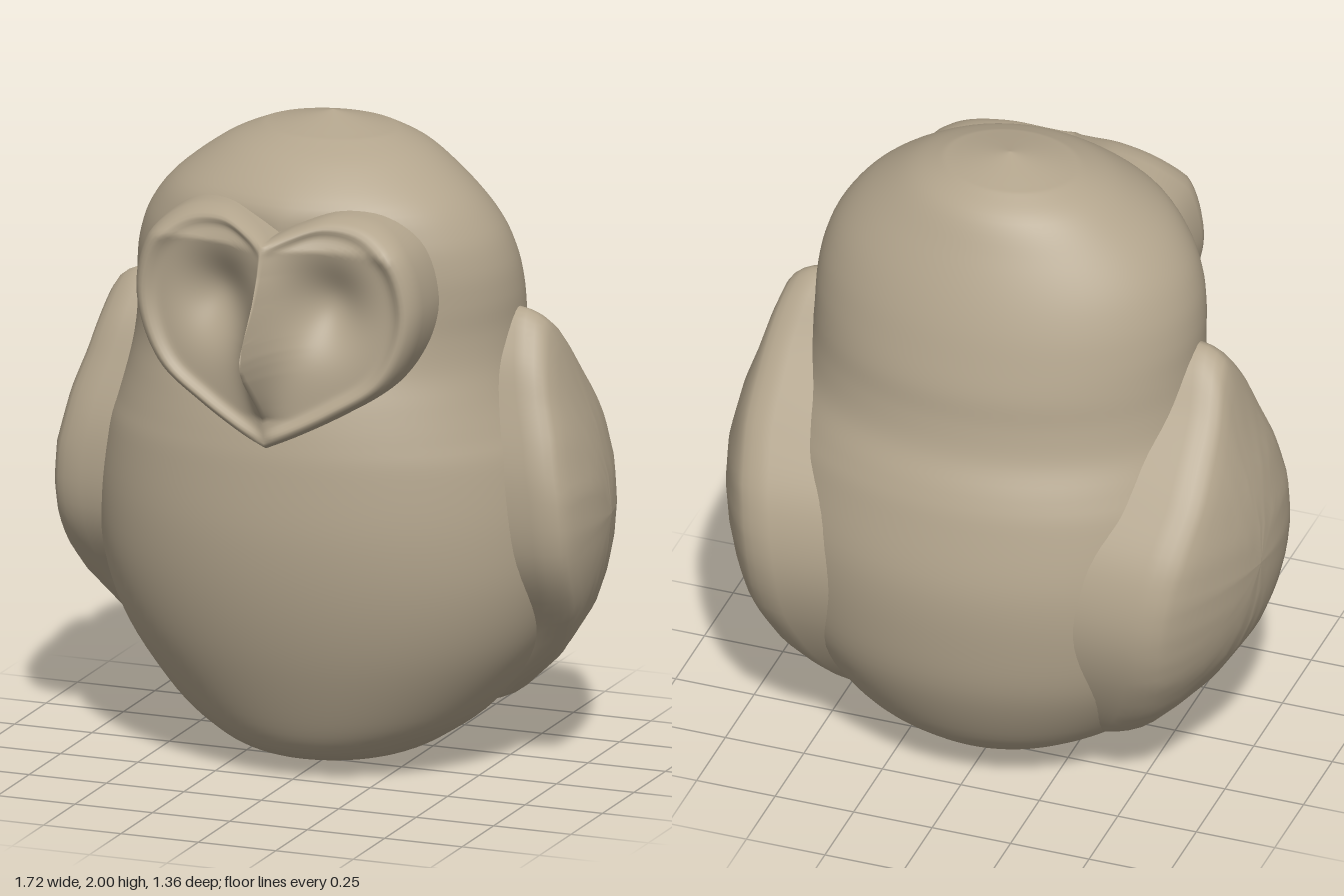
import * as THREE from 'three';

const plumage = new THREE.MeshStandardMaterial({ color: 0xb3a58d });
plumage.name = 'warm taupe';

// Skin a list of closed rings (arrays of Vector3 of equal length)
function loft(name, rings, flip) {
  const n = rings[0].length, index = [];
  for (let i = 0; i < rings.length - 1; i++) {
    for (let j = 0; j < n; j++) {
      const k = (j + 1) % n;
      const a = i * n + j, b = i * n + k, c = a + n, d = b + n;
      if (flip) index.push(a, b, c, b, d, c);
      else index.push(a, c, b, b, c, d);
    }
  }
  const geo = new THREE.BufferGeometry().setFromPoints(rings.flat());
  geo.setIndex(index);
  geo.computeVertexNormals();
  const mesh = new THREE.Mesh(geo, plumage);
  mesh.name = name;
  return mesh;
}

// Piecewise linear lookup in [key, value] pairs sorted by key
function lookup(table, k) {
  if (k <= table[0][0]) return table[0][1];
  for (let i = 1; i < table.length; i++) {
    const [k0, v0] = table[i - 1], [k1, v1] = table[i];
    if (k <= k1) return v0 + (v1 - v0) * (k - k0) / (k1 - k0);
  }
  return table[table.length - 1][1];
}

const gauss = (t) => Math.exp(-t * t);
const spline = (pts, closed) => new THREE.CatmullRomCurve3(
  pts.map(([x, y]) => new THREE.Vector3(x, y, 0)), closed, 'centripetal');

// Body and head: height, half width, front z, back z
function makeBody() {
  const sections = [
    [0, 0, -0.07, -0.07], [0.03, 0.17, 0.1, -0.25], [0.05, 0.27, 0.19, -0.34],
    [0.1, 0.37, 0.26, -0.43], [0.2, 0.5, 0.32, -0.53], [0.4, 0.65, 0.4, -0.63],
    [0.6, 0.72, 0.45, -0.67], [0.8, 0.73, 0.47, -0.677], [1.0, 0.7, 0.46, -0.635],
    [1.1, 0.665, 0.445, -0.6], [1.2, 0.63, 0.42, -0.552], [1.3, 0.61, 0.39, -0.528],
    [1.4, 0.602, 0.38, -0.515], [1.5, 0.6, 0.38, -0.49], [1.6, 0.585, 0.38, -0.46],
    [1.7, 0.545, 0.37, -0.42], [1.8, 0.465, 0.34, -0.37], [1.9, 0.335, 0.23, -0.31],
    [1.95, 0.23, 0.13, -0.24], [1.965, 0.17, 0.08, -0.2], [2, 0, -0.07, -0.07],
  ];
  const width = new THREE.CatmullRomCurve3(sections.map(([y, w]) => new THREE.Vector3(w, y, 0)));
  const depth = new THREE.CatmullRomCurve3(sections.map(([, , f, b]) => new THREE.Vector3(f, b, 0)));
  width.curveType = depth.curveType = 'catmullrom';
  const rings = [], steps = 100, sides = 96;
  for (let i = 0; i <= steps; i++) {
    const { x: w, y } = width.getPoint(i / steps);
    const { x: front, y: back } = depth.getPoint(i / steps);
    const ring = [];
    for (let j = 0; j < sides; j++) {
      const a = (j / sides) * Math.PI * 2;
      const x = w * Math.cos(a);
      let z = (front + back) / 2 + (front - back) / 2 * Math.sin(a);
      // make room behind the eye hollows
      if (z > 0) z -= 0.13 * gauss((Math.abs(x) - 0.17) / 0.14) * gauss((y - 1.53) / 0.15);
      ring.push(new THREE.Vector3(x, y, z));
    }
    rings.push(ring);
  }
  return loft('body', rings, false);
}

// Folded wing: leaf outline in (z, y), swelling outwards with a rounded rim
function makeWing(side) {
  const outline = spline([
    [-0.06, 1.45], [0.03, 1.34], [0.085, 1.2], [0.145, 0.95], [0.12, 0.7], [-0.05, 0.44],
    [-0.2, 0.22], [-0.27, 0.15], [-0.38, 0.22], [-0.54, 0.48], [-0.59, 0.7],
    [-0.55, 0.9], [-0.42, 1.09], [-0.24, 1.29], [-0.13, 1.42],
  ], true).getPoints(90).slice(0, -1);
  const swell = [
    [0.15, 0.5], [0.2, 0.56], [0.35, 0.7], [0.5, 0.795], [0.6, 0.83], [0.7, 0.85],
    [0.8, 0.858], [0.92, 0.85], [1.08, 0.81], [1.2, 0.765], [1.37, 0.715], [1.45, 0.69],
  ];
  // scale of the outline, distance below the outer surface
  const rim = [
    [1, 0.3], [1, 0.09], [0.99, 0.06], [0.97, 0.035], [0.94, 0.016], [0.9, 0.006],
    [0.8, 0], [0.65, 0], [0.5, 0], [0.35, 0], [0.2, 0], [0, 0],
  ];
  const rings = rim.map(([s, drop]) => outline.map((p) => {
    const z = -0.2 + (p.x + 0.2) * s;
    const y = 0.8 + (p.y - 0.8) * s;
    const x = lookup(swell, y) - 0.75 * (z + 0.08) ** 2 - drop;
    return new THREE.Vector3(side * x, y, z);
  }));
  return loft(side > 0 ? 'leftWing' : 'rightWing', rings, side > 0);
}

// Heart-shaped face with raised rim, eye hollows and a sharp beak ridge
function makeFace() {
  const half = spline([
    [0, 1.085], [0.1, 1.13], [0.22, 1.195], [0.36, 1.29], [0.43, 1.41], [0.452, 1.54],
    [0.41, 1.69], [0.31, 1.775], [0.18, 1.795], [0.07, 1.76], [0, 1.725],
  ], false).getPoints(60);
  const outline = [...half, ...half.slice(1, -1).reverse().map((p) => new THREE.Vector3(-p.x, p.y, 0))];
  const beak = [
    [1.08, 0.48], [1.18, 0.49], [1.23, 0.54], [1.33, 0.645], [1.37, 0.672], [1.4, 0.68],
    [1.44, 0.66], [1.55, 0.58], [1.63, 0.535], [1.72, 0.5], [1.8, 0.44],
  ];
  const surface = (x, y, s) => {
    const ax = Math.abs(x);
    let z = 0.475 - 0.19 * ax - Math.max(0, y - 1.7) * 0.7;
    z += 0.025 * gauss((s - 0.93) / 0.06);
    z -= 0.085 * gauss((ax - 0.17) / 0.12) * gauss((y - 1.53) / 0.13);
    const ridge = Math.exp(-ax / 0.036);
    return z + (lookup(beak, y) - z) * ridge;
  };
  const place = (s, zOf) => outline.map((p) => {
    const x = p.x * s, y = 1.45 + (p.y - 1.45) * s;
    return new THREE.Vector3(x, y, zOf(x, y));
  });
  const rings = [place(1.02, () => 0.15), place(1.015, (x, y) => surface(x, y, 1) - 0.05)];
  for (let i = 40; i >= 0; i--) {
    const s = i / 40;
    rings.push(place(s, (x, y) => surface(x, y, s) - (i === 40 ? 0.015 : 0)));
  }
  return loft('faceAndBeak', rings, true);
}

export function createModel() {
  const owl = new THREE.Group();
  owl.name = 'owl';
  owl.add(makeBody(), makeWing(1), makeWing(-1), makeFace());
  return owl;
}
